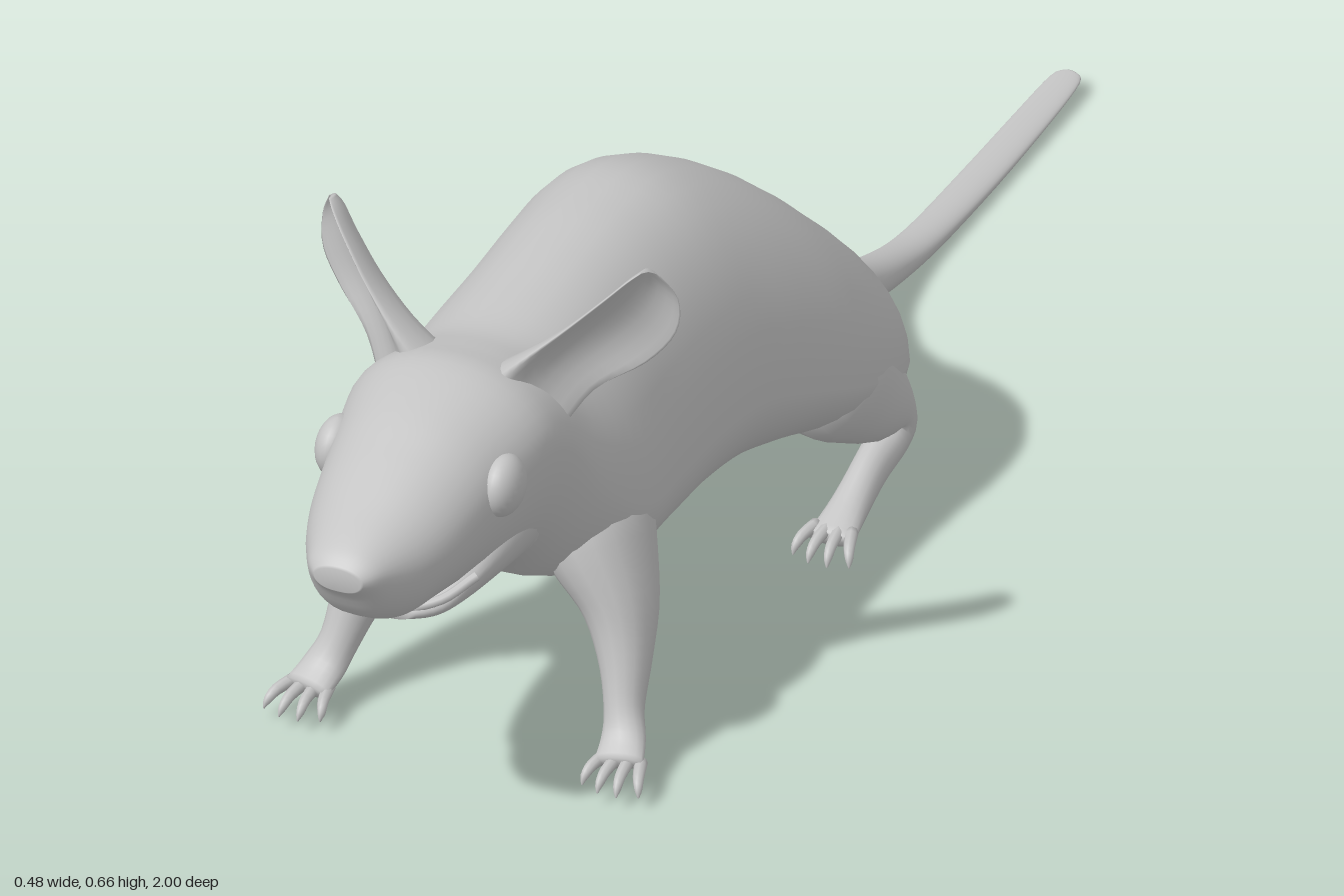
import * as THREE from 'three';

const fur = new THREE.MeshStandardMaterial({ color: 0xc4c4c4 });
fur.name = 'pale grey';

// Smoothly resamples a table of rows, column by column
function resample(rows, steps) {
  const out = [], n = rows.length - 1;
  for (let i = 0; i < n; i++) {
    const a = rows[Math.max(i - 1, 0)], b = rows[i], c = rows[i + 1], d = rows[Math.min(i + 2, n)];
    for (let s = 0; s < steps; s++) {
      const t = s / steps;
      out.push(b.map((v, k) => {
        const cubic = 3 * (v - c[k]) + d[k] - a[k];
        const square = 2 * a[k] - 5 * v + 4 * c[k] - d[k];
        return v + 0.5 * t * (c[k] - a[k] + t * (square + t * cubic));
      }));
    }
  }
  out.push(rows[n]);
  return out;
}

// Skins closed rings of points, with a fan at each end
function loft(rings) {
  const n = rings[0].length, pos = [], idx = [];
  rings.forEach(r => r.forEach(p => pos.push(p.x, p.y, p.z)));
  for (let i = 0; i < rings.length - 1; i++) {
    for (let j = 0; j < n; j++) {
      const a = i * n + j, b = i * n + (j + 1) % n;
      idx.push(a, b, a + n, b, b + n, a + n);
    }
  }
  [0, rings.length - 1].forEach((r, end) => {
    const c = new THREE.Vector3();
    rings[r].forEach(p => c.addScaledVector(p, 1 / n));
    const centre = pos.length / 3;
    pos.push(c.x, c.y, c.z);
    for (let j = 0; j < n; j++) {
      const a = r * n + j, b = r * n + (j + 1) % n;
      if (end) idx.push(centre, a, b); else idx.push(centre, b, a);
    }
  });
  const g = new THREE.BufferGeometry();
  g.setAttribute('position', new THREE.Float32BufferAttribute(pos, 3));
  g.setIndex(idx);
  g.computeVertexNormals();
  return g;
}

function ring(n, f) {
  return Array.from({ length: n }, (_, j) => f(Math.cos(j / n * Math.PI * 2), Math.sin(j / n * Math.PI * 2)));
}

// Rows along z: [z, top, widest height, bottom, half width]; the underside is squarer
function trunk(rows) {
  const rings = resample(rows, 4).map(([z, top, mid, bot, w]) => ring(36, (c, s) => {
    const x = Math.sign(c) * Math.pow(Math.abs(c), s < 0 ? 0.75 : 0.95) * w;
    return new THREE.Vector3(x, mid + s * (s > 0 ? top - mid : mid - bot), z);
  }));
  return loft(rings);
}

// Rows along a path: [x, y, z, half width, half depth]
function limb(rows, sides = 16, steps = 4) {
  const r = resample(rows, steps), P = r.map(q => new THREE.Vector3(q[0], q[1], q[2]));
  const rings = r.map((q, i) => {
    const d = P[Math.min(i + 1, P.length - 1)].clone().sub(P[Math.max(i - 1, 0)]).normalize();
    const u = new THREE.Vector3(1, 0, 0).addScaledVector(d, -d.x).normalize();
    const v = d.clone().cross(u);
    return ring(sides, (c, s) => P[i].clone().addScaledVector(u, c * q[3]).addScaledVector(v, s * q[4]));
  });
  return loft(rings);
}

// Cupped ear from rows of inner edge, outer edge and half thickness
function earShape() {
  const rows = [
    [0.04, 0.52, 0.68, 0.11, 0.45, 0.63, 0.035], [0.08, 0.557, 0.675, 0.145, 0.5, 0.605, 0.018],
    [0.125, 0.597, 0.655, 0.195, 0.53, 0.572, 0.008], [0.165, 0.635, 0.63, 0.226, 0.57, 0.557, 0.006],
    [0.188, 0.657, 0.612, 0.228, 0.615, 0.555, 0.005], [0.2, 0.665, 0.597, 0.21, 0.655, 0.575, 0.003]];
  const front = new THREE.Vector3(0.6, -0.3, 0.74).normalize();
  const rings = resample(rows, 4).map(q => {
    const a = new THREE.Vector3(q[0], q[1], q[2]), b = new THREE.Vector3(q[3], q[4], q[5]);
    const w = a.distanceTo(b);
    return ring(20, (c, s) => a.clone().lerp(b, 0.5 - c / 2)
      .addScaledVector(front, q[6] * s - 0.22 * w * s * s));
  });
  return loft(rings);
}

function mirrored(g) {
  const m = g.clone().scale(-1, 1, 1), ix = m.index.array;
  for (let i = 0; i < ix.length; i += 3) {
    const first = ix[i];
    ix[i] = ix[i + 1];
    ix[i + 1] = first;
  }
  m.computeVertexNormals();
  return m;
}

export function createModel() {
  const model = new THREE.Group();
  model.name = 'mouse';
  const add = (name, g) => {
    const m = new THREE.Mesh(g, fur);
    m.name = name;
    model.add(m);
  };
  const pair = (name, g) => {
    add(name + 'Left', g);
    add(name + 'Right', mirrored(g));
  };

  // Tail, body and head in one skin
  add('body', trunk([
    [-1, 0.025, 0.022, 0.019, 0.008], [-0.985, 0.025, 0.02, 0.016, 0.019],
    [-0.9, 0.023, 0.016, 0.01, 0.023], [-0.75, 0.023, 0.013, 0.003, 0.025],
    [-0.6, 0.03, 0.016, 0.001, 0.025], [-0.5, 0.051, 0.03, 0.01, 0.027],
    [-0.4, 0.09, 0.058, 0.032, 0.035], [-0.3, 0.153, 0.105, 0.07, 0.055],
    [-0.25, 0.192, 0.135, 0.098, 0.075], [-0.2, 0.237, 0.16, 0.112, 0.115],
    [-0.15, 0.295, 0.165, 0.108, 0.182], [-0.1, 0.348, 0.165, 0.104, 0.215],
    [0, 0.437, 0.195, 0.106, 0.217], [0.1, 0.503, 0.235, 0.135, 0.2],
    [0.2, 0.545, 0.27, 0.155, 0.178], [0.3, 0.552, 0.28, 0.164, 0.168],
    [0.4, 0.546, 0.28, 0.165, 0.165], [0.5, 0.536, 0.29, 0.175, 0.167],
    [0.58, 0.53, 0.35, 0.205, 0.15], [0.64, 0.54, 0.43, 0.25, 0.134],
    [0.7, 0.55, 0.455, 0.285, 0.128], [0.78, 0.533, 0.44, 0.308, 0.112],
    [0.84, 0.51, 0.425, 0.32, 0.101], [0.88, 0.493, 0.415, 0.326, 0.092],
    [0.92, 0.475, 0.41, 0.328, 0.078], [0.96, 0.458, 0.415, 0.352, 0.058],
    [0.985, 0.445, 0.42, 0.388, 0.044], [1, 0.432, 0.418, 0.403, 0.03],
  ]));

  // Lower jaw and lip
  add('jaw', trunk([
    [0.66, 0.42, 0.36, 0.272, 0.11], [0.75, 0.4, 0.35, 0.288, 0.104],
    [0.82, 0.36, 0.335, 0.293, 0.088], [0.855, 0.335, 0.318, 0.297, 0.067],
    [0.878, 0.32, 0.312, 0.303, 0.035],
  ]));
  const lip = [
    [-0.094, 0.35, 0.82], [-0.062, 0.328, 0.856], [0, 0.315, 0.876],
    [0.062, 0.328, 0.856], [0.094, 0.35, 0.82],
  ].map(p => new THREE.Vector3(...p));
  add('lowerLip', new THREE.TubeGeometry(new THREE.CatmullRomCurve3(lip), 24, 0.006, 8));

  pair('ear', earShape());
  pair('eye', new THREE.SphereGeometry(0.038, 24, 16).scale(0.65, 1, 1).translate(0.106, 0.45, 0.772));

  // Front legs run down and forward from the shoulder
  pair('frontLeg', limb([
    [0.085, 0.3, 0.5, 0.06, 0.085], [0.108, 0.25, 0.52, 0.067, 0.085],
    [0.148, 0.185, 0.546, 0.046, 0.062], [0.17, 0.13, 0.577, 0.032, 0.037],
    [0.182, 0.08, 0.605, 0.024, 0.024], [0.192, 0.052, 0.628, 0.027, 0.018],
    [0.2, 0.037, 0.66, 0.03, 0.01],
  ]));

  // Hind legs fold back to the heel, then forward along the foot
  pair('hindLeg', limb([
    [0.12, 0.24, 0.01, 0.05, 0.06], [0.15, 0.19, -0.02, 0.068, 0.085],
    [0.18, 0.14, -0.06, 0.049, 0.062], [0.196, 0.1, -0.09, 0.033, 0.035],
    [0.2, 0.078, -0.075, 0.026, 0.027], [0.2, 0.062, -0.025, 0.022, 0.026],
    [0.2, 0.042, 0.03, 0.024, 0.02], [0.202, 0.03, 0.085, 0.03, 0.01],
  ]));

  // Four curled toes on each foot
  for (const [name, z] of [['frontToe', 0.645], ['hindToe', 0.07]]) {
    for (let i = 0; i < 4; i++) {
      const k = i - 1.5, reach = Math.abs(k) > 1 ? 0.045 : 0.055;
      pair(name + (i + 1), limb([
        [0.2 + k * 0.015, 0.036, z, 0.008, 0.008],
        [0.202 + k * 0.02, 0.034, z + reach * 0.6, 0.007, 0.007],
        [0.203 + k * 0.023, 0.025, z + reach * 0.88, 0.005, 0.006],
        [0.204 + k * 0.024, 0.016, z + reach, 0.001, 0.001],
      ], 8, 3));
    }
  }
  return model;
}
